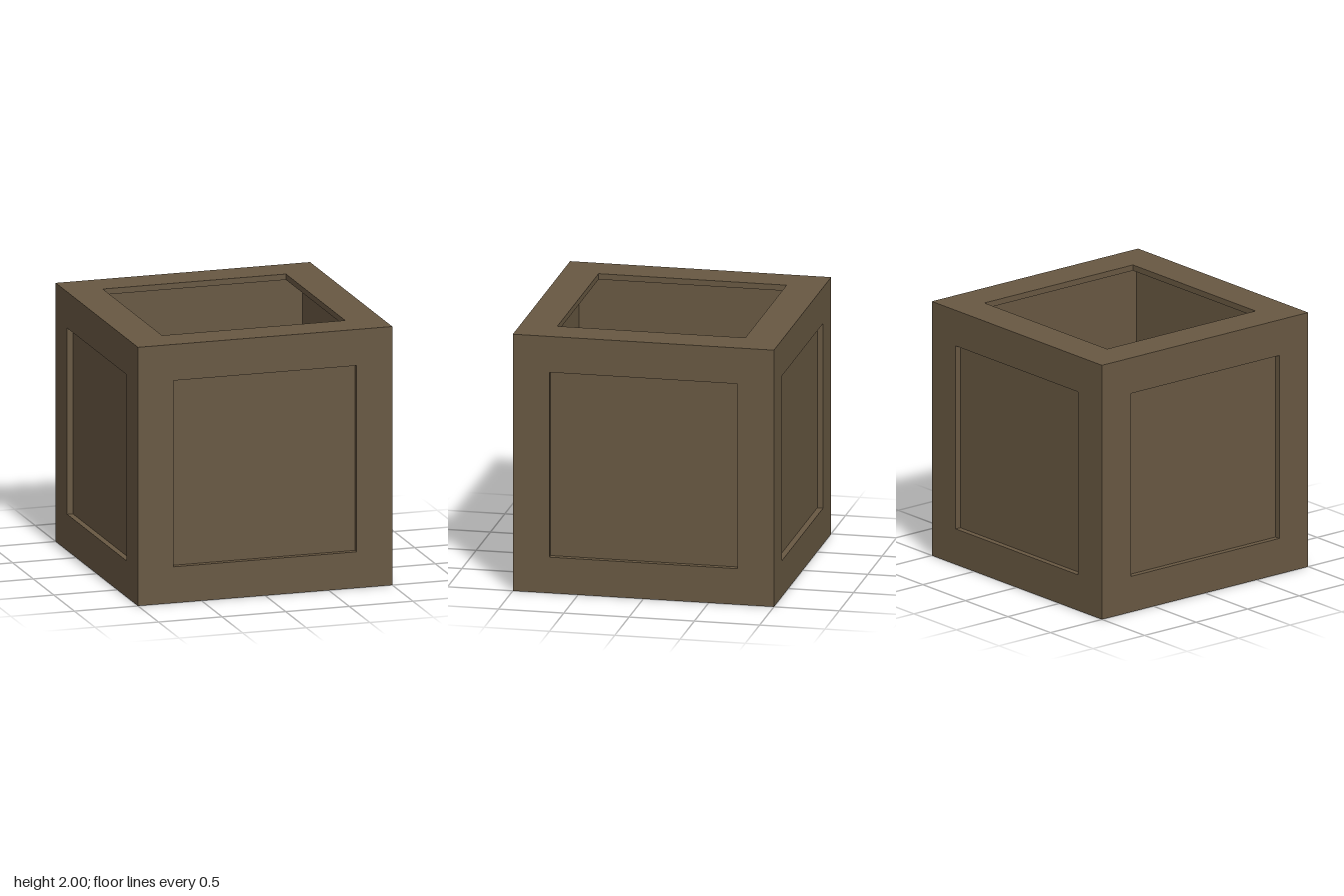
import * as THREE from 'three';

const T = 0.045;    // board thickness
const HOLE = 0.72;  // half size of each square opening

export function createModel() {
  const model = new THREE.Group();
  model.name = 'crate';
  const wood = new THREE.MeshStandardMaterial({ color: 0x685842 });
  wood.name = 'brown wood';

  // flat board with a square opening, outer face on local z = 0
  function frameGeometry(w, h) {
    const shape = new THREE.Shape();
    shape.moveTo(-w / 2, -h / 2).lineTo(w / 2, -h / 2).lineTo(w / 2, h / 2).lineTo(-w / 2, h / 2).closePath();
    const hole = new THREE.Path();
    hole.moveTo(-HOLE, -HOLE).lineTo(-HOLE, HOLE).lineTo(HOLE, HOLE).lineTo(HOLE, -HOLE).closePath();
    shape.holes.push(hole);
    return new THREE.ExtrudeGeometry(shape, { depth: T, bevelEnabled: false }).translate(0, 0, -T);
  }

  // each side faces +z locally and is turned about the crate's centre
  const outer = 2, inner = 2 - 2 * T, core = 2 - 4 * T;
  const sides = [
    { name: 'front', ry: 0, frame: [outer, inner], panel: inner },
    { name: 'back', ry: Math.PI, frame: [outer, inner], panel: inner },
    { name: 'left', ry: Math.PI / 2, frame: [inner, inner], panel: core },
    { name: 'right', ry: -Math.PI / 2, frame: [inner, inner], panel: core },
    { name: 'top', rx: -Math.PI / 2, frame: [outer, outer] },
    { name: 'bottom', rx: Math.PI / 2, frame: [outer, outer], floor: true },
  ];

  for (const s of sides) {
    const side = new THREE.Group();
    side.name = s.name + 'Side';
    side.position.y = 1;
    side.rotation.set(s.rx || 0, s.ry || 0, 0);

    const frame = new THREE.Mesh(frameGeometry(...s.frame), wood);
    frame.name = s.name + 'Frame';
    frame.position.z = 1;
    side.add(frame);

    // recessed panel behind the frame; the top stays open
    if (s.panel || s.floor) {
      const size = s.floor ? [inner, inner] : [s.panel, inner - T];
      const panel = new THREE.Mesh(new THREE.BoxGeometry(...size, T), wood);
      panel.name = s.name + 'Panel';
      panel.position.set(0, s.floor ? 0 : T / 2, 1 - 1.5 * T);
      side.add(panel);
    }
    model.add(side);
  }
  return model;
}
